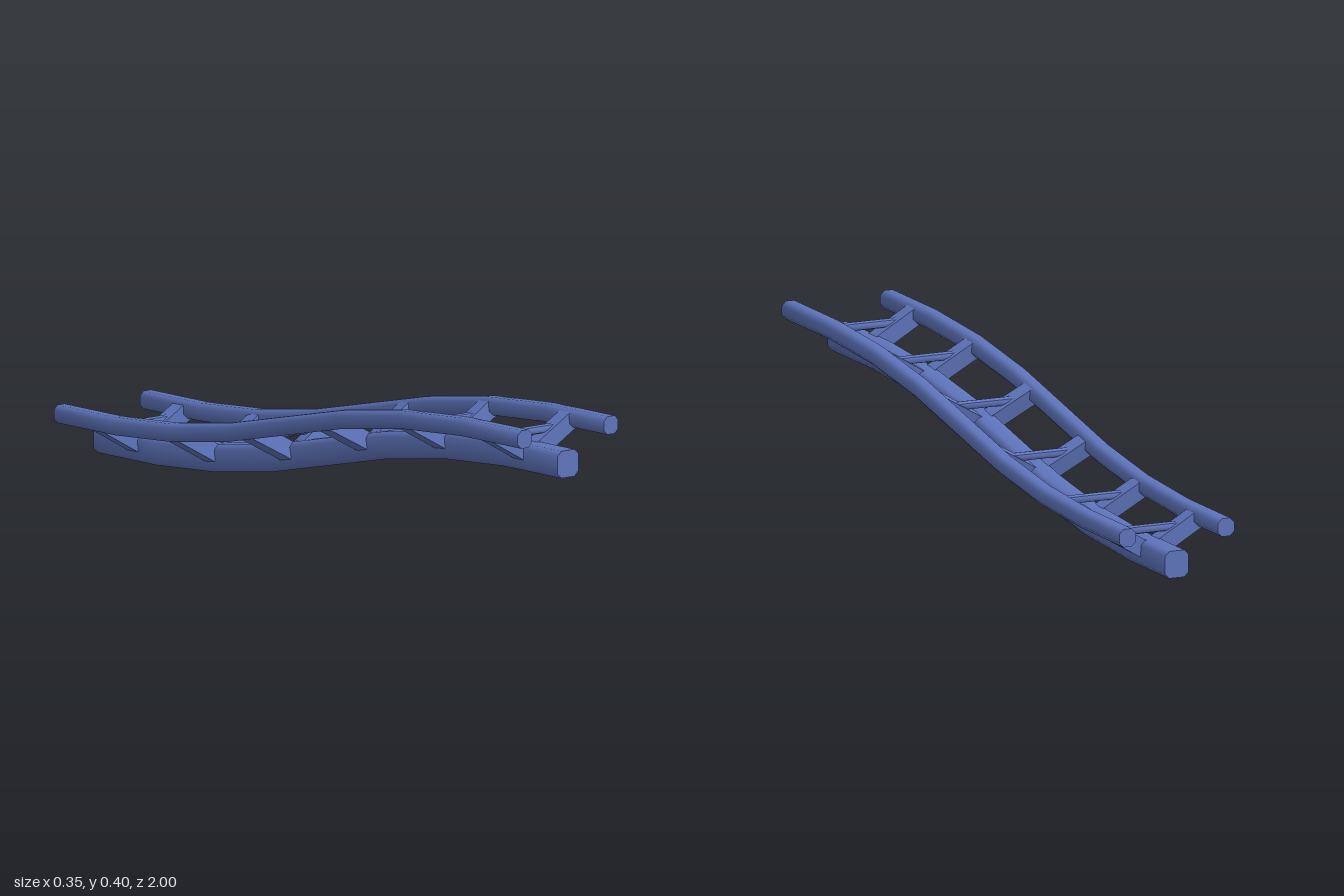
import * as THREE from 'three';
import { toCreasedNormals } from 'three/addons/utils/BufferGeometryUtils.js';

const V = (x, y, z) => new THREE.Vector3(x, y, z);

// S-shaped slope the whole track follows, from the low back to the high front
const path = new THREE.CubicBezierCurve3(V(0, 0, -1), V(0, 0, 0), V(0, 0.25, 0), V(0, 0.25, 1));
const SEGMENTS = 8;
const TIES = 6;

// Chamfered rectangle, counter-clockwise, centred on (cx, cy)
function chamferedSection(cx, cy, hw, hh, c) {
  return [
    [hw, -hh + c], [hw, hh - c], [hw - c, hh], [-hw + c, hh],
    [-hw, hh - c], [-hw, -hh + c], [-hw + c, -hh], [hw - c, -hh],
  ].map(([x, y]) => [cx + x, cy + y]);
}

// Sweeps a section along the path, tilting it with the slope
function sweep(section) {
  const n = section.length, pos = [], idx = [];
  for (let k = 0; k <= SEGMENTS; k++) {
    const p = path.getPointAt(k / SEGMENTS), t = path.getTangentAt(k / SEGMENTS);
    for (const [x, y] of section) pos.push(x, p.y + y * t.z, p.z - y * t.y);
  }
  for (let k = 0; k < SEGMENTS; k++) {
    for (let j = 0; j < n; j++) {
      const a = k * n + j, b = k * n + (j + 1) % n;
      idx.push(a, b, b + n, a, b + n, a + n);
    }
  }
  const last = SEGMENTS * n;
  for (let j = 1; j < n - 1; j++) {
    idx.push(0, j + 1, j, last, last + j, last + j + 1);
  }
  const g = new THREE.BufferGeometry();
  g.setAttribute('position', new THREE.Float32BufferAttribute(pos, 3));
  g.setIndex(idx);
  return toCreasedNormals(g, 0.9);
}

export function createModel() {
  const group = new THREE.Group();
  const blue = new THREE.MeshStandardMaterial({ color: 0x5f75bd });
  blue.name = 'track blue';

  const add = (parent, name, geometry) => {
    const mesh = new THREE.Mesh(geometry, blue);
    mesh.name = name;
    parent.add(mesh);
    return mesh;
  };

  // Heavy central beam and the two running rails
  add(group, 'spine', sweep(chamferedSection(0, 0.0375, 0.036, 0.0375, 0.013)));
  add(group, 'leftRail', sweep(chamferedSection(0.15, 0.125, 0.025, 0.025, 0.0125)));
  add(group, 'rightRail', sweep(chamferedSection(-0.15, 0.125, 0.025, 0.025, 0.0125)));

  // Ties: a V of two arms from the spine to the rails, joined by a rod
  const rise = 0.0875, reach = 0.15;
  const armGeometry = new THREE.BoxGeometry(Math.hypot(reach, rise), 0.048, 0.046);
  const rodGeometry = toCreasedNormals(new THREE.CylinderGeometry(0.0125, 0.0125, 0.2, 8), 0.9);
  for (let i = 0; i < TIES; i++) {
    const u = (i + 0.5) / TIES, t = path.getTangentAt(u);
    const tie = new THREE.Group();
    tie.name = 'tie' + (i + 1);
    tie.position.copy(path.getPointAt(u));
    tie.rotation.x = -Math.atan2(t.y, t.z);
    for (const side of [1, -1]) {
      const arm = add(tie, side > 0 ? 'leftArm' : 'rightArm', armGeometry);
      arm.position.set(side * reach / 2, 0.0375 + rise / 2, 0);
      arm.rotation.z = side * Math.atan2(rise, reach);
    }
    const rod = add(tie, 'crossRod', rodGeometry);
    rod.position.y = 0.103;
    rod.rotation.z = Math.PI / 2;
    group.add(tie);
  }
  return group;
}
